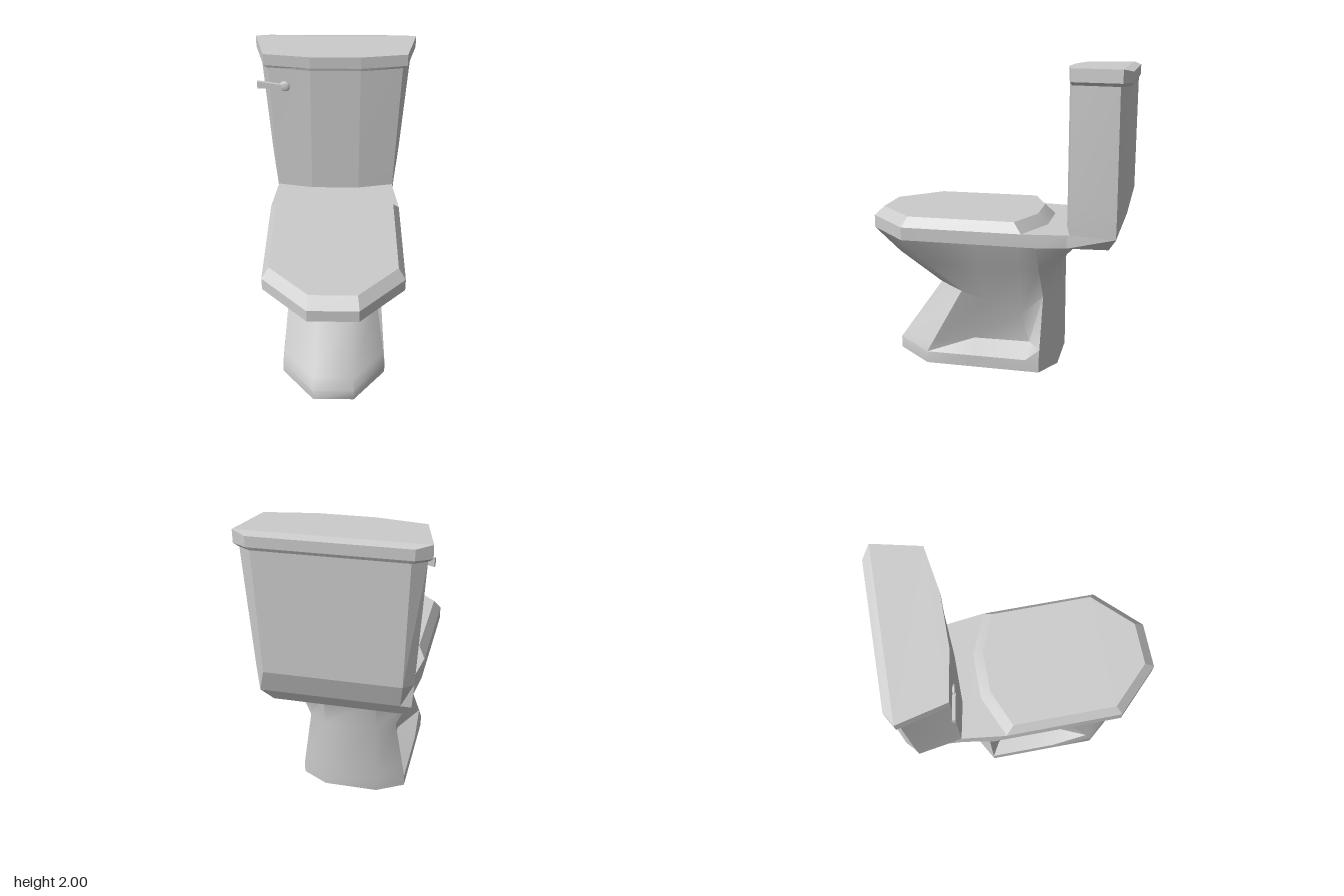
import * as THREE from 'three';
import { toCreasedNormals } from 'three/addons/utils/BufferGeometryUtils.js';

const material = new THREE.MeshStandardMaterial({ color: 0xcccccc });

// Ring at one height: half outline of [x, z] or [x, z, y] from front to back
const ring = (y, pts) => pts.map(([x, z, py = y]) => [x, py, z]);

// Skin mirrored half rings from bottom to top and close both ends
function loft(name, rings, crease = 0.3) {
  const pos = [];
  const quad = (a, b, c, d) => pos.push(...a, ...b, ...c, ...a, ...c, ...d);
  const mirror = ([x, y, z]) => [-x, y, z];
  const full = rings.map((r) => [...r, ...r.map(mirror).reverse()]);
  for (let k = 0; k < full.length - 1; k++) {
    const lo = full[k], hi = full[k + 1], n = lo.length;
    for (let i = 0; i < n; i++) {
      const j = (i + 1) % n;
      quad(lo[i], lo[j], hi[j], hi[i]);
    }
  }
  const bottom = rings[0], top = rings[rings.length - 1];
  for (let i = 0; i < top.length - 1; i++) {
    quad(top[i], top[i + 1], mirror(top[i + 1]), mirror(top[i]));
    quad(mirror(bottom[i]), mirror(bottom[i + 1]), bottom[i + 1], bottom[i]);
  }
  const geo = new THREE.BufferGeometry();
  geo.setAttribute('position', new THREE.Float32BufferAttribute(pos, 3));
  const mesh = new THREE.Mesh(toCreasedNormals(geo, crease), material);
  mesh.name = name;
  return mesh;
}

// Flush lever: a round knob with a flared flat arm
function createLever() {
  const lever = new THREE.Group();
  lever.name = 'flushLever';
  const knob = new THREE.Mesh(new THREE.SphereGeometry(0.037, 12, 8), material);
  knob.name = 'leverKnob';
  knob.scale.z = 0.35;
  const shape = new THREE.Shape([
    [0, -0.012], [0, 0.012], [-0.13, 0.02], [-0.19, 0.024], [-0.19, -0.03], [-0.13, -0.022],
  ].map(([x, y]) => new THREE.Vector2(x, y)));
  const arm = new THREE.Mesh(
    new THREE.ExtrudeGeometry(shape, { depth: 0.02, bevelEnabled: false }), material);
  arm.name = 'leverArm';
  arm.position.z = -0.01;
  lever.add(knob, arm);
  lever.position.set(-0.345, 1.78, -0.482);
  lever.rotation.y = -0.17;
  return lever;
}

export function createModel() {
  const model = new THREE.Group();
  model.name = 'toilet';

  // Pedestal with recessed side panels, flaring into the bowl
  model.add(loft('pedestalAndBowl', [
    ...[0, 0.08].map((y) => ring(y, [
      [0.14, 0.71], [0.36, 0.45], [0.36, 0.15], [0.36, -0.23], [0.36, -0.32], [0.18, -0.42]])),
    ring(0.155, [
      [0.137, 0.658], [0.349, 0.41], [0.23, 0.15], [0.22, -0.23], [0.349, -0.323], [0.18, -0.42]]),
    ring(0.51, [
      [0.12, 0.41], [0.295, 0.22], [0.262, 0.05, 0.44], [0.225, -0.175, 0.35], [0.295, -0.335], [0.17, -0.42]]),
    ring(0.72, [
      [0.145, 0.7], [0.393, 0.43], [0.393, 0.08], [0.393, -0.19], [0.393, -0.32], [0.18, -0.42]]),
    ring(0.885, [
      [0.16, 0.875], [0.455, 0.58], [0.455, 0.1], [0.455, -0.2], [0.455, -0.31], [0.2, -0.57]]),
  ], 0.88));

  // Rim and the deck carrying the tank
  model.add(loft('rimAndDeck', [
    ring(0.885, [[0.16, 0.875], [0.455, 0.58], [0.455, -0.31], [0.42, -0.5], [0.4, -0.76]]),
    ring(0.97, [[0.16, 0.875], [0.455, 0.58], [0.455, -0.22], [0.42, -0.5], [0.465, -0.81]]),
  ]));

  // Closed seat lid with bevelled edge
  model.add(loft('seatLid', [
    ring(0.97, [[0.16, 0.875], [0.455, 0.58], [0.455, -0.215], [0.16, -0.34]]),
    ring(1.035, [[0.15, 0.805], [0.41, 0.545], [0.41, -0.16], [0.15, -0.27]]),
  ]));

  // Tank, tapering down with a chamfered lower back
  model.add(loft('tank', [
    ring(0.97, [[0.17, -0.468], [0.42, -0.516], [0.467, -0.808], [0.4, -0.81]]),
    ring(1.13, [[0.17, -0.468], [0.427, -0.516], [0.48, -0.81], [0.42, -0.865]]),
    ring(1.905, [[0.17, -0.468], [0.455, -0.516], [0.53, -0.81], [0.45, -0.865]]),
  ], 0.1));

  // Tank lid, undercut below and sloped along the back
  const lidOutline = [[0.17, -0.463], [0.485, -0.513], [0.56, -0.825]];
  model.add(loft('tankLid', [
    ring(1.9, [[0.17, -0.468], [0.46, -0.518], [0.535, -0.815], [0.45, -0.867]]),
    ring(1.92, [...lidOutline, [0.47, -0.877]]),
    ring(2, [...lidOutline, [0.47, -0.877, 1.985]]),
  ], 0.1));

  model.add(createLever());
  return model;
}
